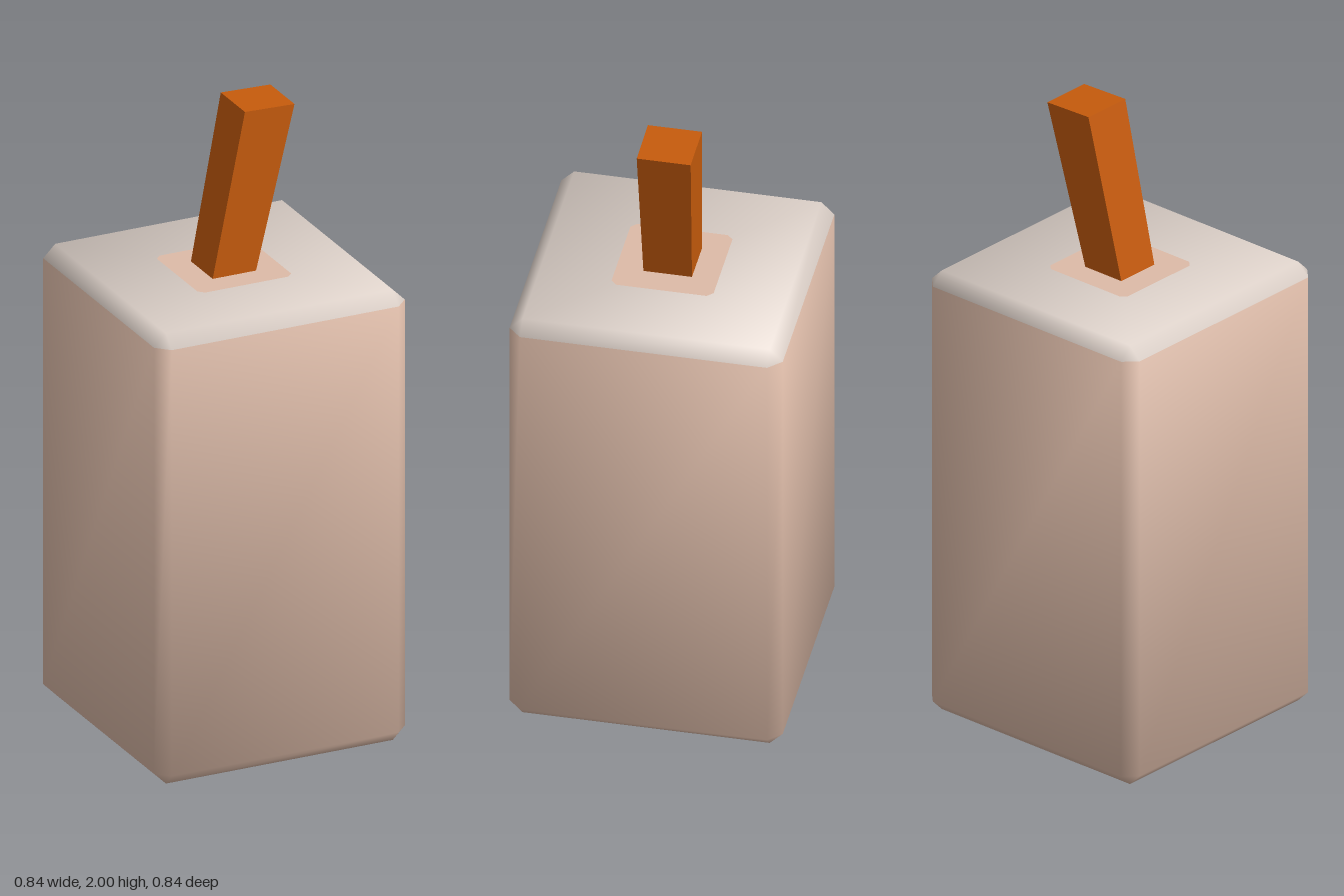
import * as THREE from 'three';

const HALF = 0.42, BEVEL = 0.04, HEIGHT = 1.475;
const INNER = HALF - BEVEL;

const wax = new THREE.MeshStandardMaterial({ color: 0xddbba8 });
wax.name = 'pinkWax';
const top = new THREE.MeshStandardMaterial({ color: 0xded2ca });
top.name = 'paleWax';
const orange = new THREE.MeshStandardMaterial({ color: 0xc65b0c });
orange.name = 'orangeWick';

// Eight points round the block; at the very top and bottom they pair up into a square.
function ring(y) {
  const out = y === 0 || y === HEIGHT ? INNER : HALF;
  const corners = [[1, 1], [1, -1], [-1, -1], [-1, 1]];
  return corners.flatMap(([sx, sz], i) => {
    const a = [sx * INNER, y, sz * out], b = [sx * out, y, sz * INNER];
    return i % 2 ? [b, a] : [a, b];
  });
}

// Soft normals: mostly along the face a point lies on, tilted towards its corner.
function softNormal([x, y, z]) {
  const weight = (full) => (full ? 3 : 1.28);
  return new THREE.Vector3(
    Math.sign(x) * weight(Math.abs(x) === HALF),
    Math.sign(y - HEIGHT / 2) * weight(y === 0 || y === HEIGHT),
    Math.sign(z) * weight(Math.abs(z) === HALF)
  ).normalize().toArray();
}

// Joins rings at rising levels, with an optional flat cap below or above.
function loft(levels, capBottom, capTop) {
  const points = levels.flatMap(ring);
  const index = [];
  for (let l = 0; l < levels.length - 1; l++) {
    for (let i = 0; i < 8; i++) {
      const a = l * 8 + i, b = l * 8 + (i + 1) % 8;
      index.push(a, b, b + 8, a, b + 8, a + 8);
    }
  }
  const t = (levels.length - 1) * 8;
  if (capBottom) index.push(0, 4, 2, 0, 6, 4);
  if (capTop) index.push(t, t + 2, t + 4, t, t + 4, t + 6);
  const geometry = new THREE.BufferGeometry();
  geometry.setAttribute('position', new THREE.Float32BufferAttribute(points.flat(), 3));
  geometry.setAttribute('normal', new THREE.Float32BufferAttribute(points.flatMap(softNormal), 3));
  geometry.setIndex(index);
  return geometry;
}

// Leaning, slightly widening square wick, shaped from a box.
function wickGeometry() {
  const g = new THREE.BoxGeometry(1, 1, 1);
  const p = g.attributes.position;
  for (let i = 0; i < p.count; i++) {
    const right = p.getX(i) > 0, high = p.getY(i) > 0, front = p.getZ(i) > 0;
    if (high) p.setXYZ(i, right ? 0.204 : 0.038, right ? 1.995 : 2, front ? 0.066 : -0.1);
    else p.setXYZ(i, right ? 0.07 : -0.075, HEIGHT - 0.005, front ? 0.073 : -0.076);
  }
  const flat = g.toNonIndexed();
  flat.computeVertexNormals();
  return flat;
}

// Thin square with clipped corners, painted round the foot of the wick.
function patchGeometry() {
  const h = 0.157, c = h - 0.018;
  const outline = [[c, h], [-c, h], [-h, c], [-h, -c], [-c, -h], [c, -h], [h, -c], [h, c]];
  const shape = new THREE.Shape(outline.map(([x, y]) => new THREE.Vector2(x, y)));
  return new THREE.ShapeGeometry(shape).rotateX(-Math.PI / 2).translate(0, HEIGHT + 0.002, 0);
}

export function createModel() {
  const group = new THREE.Group();
  group.name = 'candle';
  const add = (name, geometry, material) => {
    const mesh = new THREE.Mesh(geometry, material);
    mesh.name = name;
    group.add(mesh);
  };
  add('body', loft([0, BEVEL, HEIGHT - BEVEL], true, false), wax);
  add('topFace', loft([HEIGHT - BEVEL, HEIGHT], false, true), top);
  add('wickPatch', patchGeometry(), wax);
  add('wick', wickGeometry(), orange);
  return group;
}
